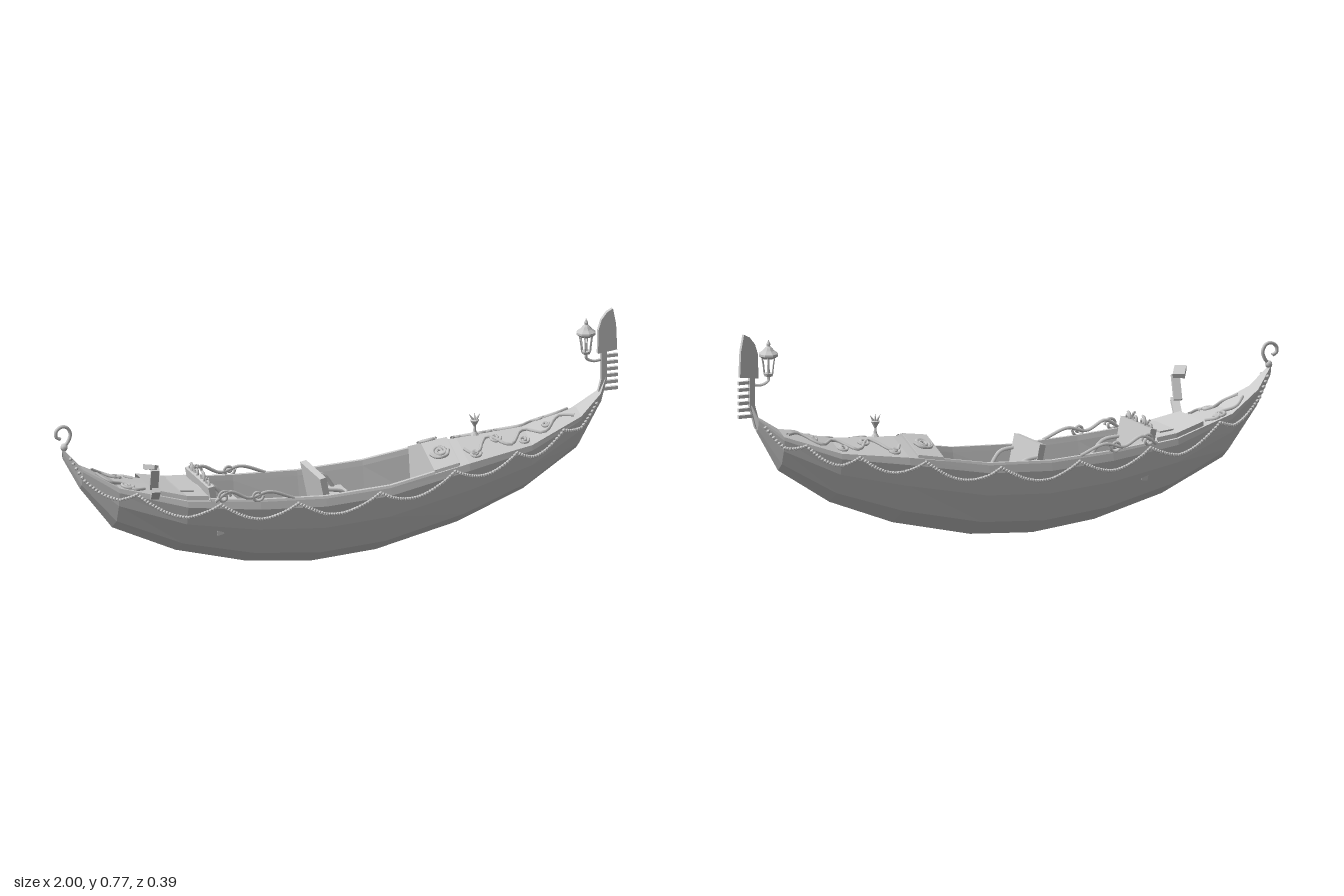
import * as THREE from 'three';
import { mergeGeometries } from 'three/addons/utils/BufferGeometryUtils.js';

const flat = new THREE.MeshStandardMaterial({ color: 0xcccccc, flatShading: true, side: THREE.DoubleSide });
const smooth = new THREE.MeshStandardMaterial({ color: 0xcccccc, side: THREE.DoubleSide });

// Hull stations: x, keel height, rim height, half width
const STATIONS = [
  [-0.97, 0.46, 0.495, 0.008], [-0.91, 0.35, 0.425, 0.036], [-0.795, 0.2, 0.36, 0.078],
  [-0.57, 0.096, 0.305, 0.13], [-0.32, 0.03, 0.282, 0.153], [-0.09, 0.005, 0.271, 0.16],
  [0.14, 0.02, 0.282, 0.157], [0.425, 0.085, 0.33, 0.137], [0.66, 0.176, 0.358, 0.1],
  [0.85, 0.3, 0.423, 0.052], [0.93, 0.44, 0.485, 0.02], [0.952, 0.52, 0.535, 0.008],
];
// Half cross-section as fractions of width and height
const SECTION = [[0, 0], [0.6, 0.22], [0.9, 0.6], [1, 0.9], [0.97, 1]];
const STERN = -0.49, BOW = 0.3, FLOOR = 0.17;

function at(x) {
  let i = 0;
  while (i < STATIONS.length - 2 && x > STATIONS[i + 1][0]) i++;
  const a = STATIONS[i], b = STATIONS[i + 1];
  const t = THREE.MathUtils.clamp((x - a[0]) / (b[0] - a[0]), 0, 1);
  const [keel, rim, w] = [1, 2, 3].map((k) => a[k] + (b[k] - a[k]) * t);
  return { keel, rim, w };
}

// Half width of the hull at a given height
function sideZ(x, y) {
  const { keel, rim, w } = at(x);
  const f = THREE.MathUtils.clamp((y - keel) / (rim - keel), 0, 1);
  const i = Math.max(1, SECTION.findIndex((s) => s[1] >= f));
  const [a, b] = [SECTION[i - 1], SECTION[i]];
  return w * (a[0] + (b[0] - a[0]) * (f - a[1]) / (b[1] - a[1]));
}

// Gabled deck surface
function deckY(x, z) {
  const { rim, w } = at(x);
  return rim + (x > 0 ? 0.36 : 0.1) * w * Math.max(0, 1 - Math.abs(z) / (0.97 * w));
}

// Skin over open cross-sections given as [y, z] lists
function loft(xs, profile) {
  const pos = [], index = [], n = profile(xs[0]).length;
  xs.forEach((x, i) => profile(x).forEach(([y, z], j) => {
    pos.push(x, y, z);
    if (i && j) {
      const a = (i - 1) * n + j - 1, b = a + n;
      index.push(a, a + 1, b, b, a + 1, b + 1);
    }
  }));
  const g = new THREE.BufferGeometry();
  g.setAttribute('position', new THREE.Float32BufferAttribute(pos, 3));
  g.setIndex(index);
  g.computeVertexNormals();
  return g;
}

const span = (a, b) => [a, ...STATIONS.map((s) => s[0]).filter((x) => x > a && x < b), b];
const V = (p) => new THREE.Vector3(...p);
const tube = (pts, r, seg = 24, sides = 5) =>
  new THREE.TubeGeometry(new THREE.CatmullRomCurve3(pts.map(V)), seg, r, sides);
const spiral = (cx, cy, r, turns, dir = 1, start = 0) => Array.from({ length: 15 }, (_, i) => {
  const a = start + dir * turns * Math.PI * 2 * i / 14, q = r * (1 - 0.75 * i / 14);
  return [cx + Math.cos(a) * q, cy + Math.sin(a) * q];
});

export function createModel() {
  const model = new THREE.Group();
  model.name = 'gondola';
  model.position.z = -0.013;
  const add = (name, geo, mat = flat, p = [0, 0, 0], rz = 0) => {
    const m = new THREE.Mesh(geo, mat);
    m.name = name;
    m.position.set(...p);
    m.rotation.z = rz;
    model.add(m);
    return m;
  };
  const box = (name, size, p, rz) => add(name, new THREE.BoxGeometry(...size), flat, p, rz);

  // Hull shell
  const xsHull = STATIONS.map((s) => s[0]);
  add('hull', loft(xsHull, (x) => {
    const { keel, rim, w } = at(x);
    const half = SECTION.map(([a, b]) => [keel + (rim - keel) * b, a * w]);
    return [...half.slice(1).reverse().map(([y, z]) => [y, -z]), ...half];
  }));

  // Decks, gunwales, cockpit walls and floor
  const deck = (x) => [1, 0.5, 0, -0.5, -1].map((s) => {
    const z = s * 0.97 * at(x).w;
    return [deckY(x, z), z];
  });
  add('sternDeck', loft(span(-0.97, STERN), deck));
  add('bowDeck', loft(span(BOW, 0.952), deck));
  add('cockpit', loft(span(STERN, BOW), (x) => {
    const { rim, w } = at(x);
    const half = [[rim, 0.97 * w], [rim + 0.008, 0.95 * w], [rim + 0.008, 0.87 * w], [rim - 0.01, 0.84 * w], [FLOOR, 0.7 * w]];
    return [...half, ...half.map(([y, z]) => [y, -z]).reverse()];
  }));
  const bulkhead = (name, x, lift) => {
    const { rim, w } = at(x);
    const s = new THREE.Shape([[-0.7 * w, FLOOR], [0.7 * w, FLOOR], [0.93 * w, rim + lift], [0, deckY(x, 0) + lift],
      [-0.93 * w, rim + lift]].map((p) => new THREE.Vector2(...p)));
    add(name, new THREE.ExtrudeGeometry(s, { depth: 0.008, bevelEnabled: false }).rotateY(Math.PI / 2), flat, [x, 0, 0]);
  };
  bulkhead('sternBulkhead', STERN - 0.006, 0.002);
  bulkhead('bowBulkhead', BOW, 0.012);
  bulkhead('panelEnd', 0.384, 0.012);
  add('deckPanel', loft([BOW, 0.39], (x) => {
    const { rim, w } = at(x);
    return [[rim, 0.95 * w], [rim + 0.012, 0.93 * w], [deckY(x, 0) + 0.012, 0], [rim + 0.012, -0.93 * w], [rim, -0.95 * w]];
  }));

  // Stern platform and hatch
  add('sternPlatform', loft([-0.68, -0.57, -0.495], (x) => {
    const { rim, w } = at(x);
    return [[rim, 0.9 * w], [rim + 0.016, 0.88 * w], [rim + 0.016, -0.88 * w], [rim, -0.9 * w]];
  }));
  box('hatch', [0.05, 0.014, 0.14], [-0.555, 0.318, 0], -0.1);

  // Benches with leaning backrests
  for (const [x, depth, h, halfW] of [[-0.465, 0.125, 0.345, 0.118], [-0.065, 0.1, 0.325, 0.1]]) {
    box('bench', [depth, 0.045, halfW * 1.9], [x + depth / 2 + 0.01, FLOOR + 0.022, 0]);
    box('benchCushion', [depth + 0.008, 0.012, halfW * 1.95], [x + depth / 2 + 0.01, FLOOR + 0.051, 0]);
    box('backrest', [0.022, h - FLOOR, halfW * 2], [x - 0.002, (h + FLOOR) / 2, 0], 0.2);
    add('benchKnob', new THREE.SphereGeometry(0.008, 8, 6), smooth, [x + depth, FLOOR + 0.063, 0]);
    for (const s of [-1, 1])
      add('armrest', tube([[x, 0.28, s * halfW * 0.9], [x + depth * 0.5, 0.27, s * halfW * 0.92],
        [x + depth * 0.85, 0.225, s * halfW * 0.9]], 0.007, 10), smooth);
  }

  // Carved crest above the rear seat and scrolls along the rims
  const crest = [];
  for (const s of [-1, 1]) {
    crest.push(tube(spiral(s * 0.085, 0.345, 0.02, 1.4, s, Math.PI / 2).map(([z, y]) => [-0.485, y, z]), 0.005));
    crest.push(tube(spiral(s * 0.03, 0.35, 0.022, 1.3, -s, Math.PI / 2).map(([z, y]) => [-0.485, y, z]), 0.005));
    const z = s * 0.145;
    crest.push(tube([[-0.48, 0.3, z], [-0.43, 0.33, z], [-0.36, 0.3, z], [-0.29, 0.315, z], [-0.2, 0.283, z]], 0.006));
    crest.push(tube(spiral(-0.45, 0.313, 0.024, 1.3, 1).map(([x, y]) => [x, y, z]), 0.005));
    crest.push(tube(spiral(-0.33, 0.305, 0.022, 1.3, -1).map(([x, y]) => [x, y, z]), 0.005));
  }
  add('seatCarving', mergeGeometries(crest), smooth);

  // Scrolls and rosettes laid on the decks
  const carving = [];
  const onDeck = (pts, r, lift = 0.003) => carving.push(tube(pts.map(([x, z]) => [x, deckY(x, z) + lift, z]), r, 32));
  for (const s of [-1, 1]) {
    onDeck(Array.from({ length: 18 }, (_, i) => {
      const x = 0.43 + 0.4 * i / 17;
      return [x, s * at(x).w * (0.45 + 0.27 * Math.sin(i * 1.15))];
    }), 0.006);
    for (const [x, q, r] of [[0.46, 0.7, 0.02], [0.55, 0.3, 0.02], [0.64, 0.65, 0.018], [0.73, 0.35, 0.013]])
      onDeck(spiral(x, s * at(x).w * q, r, 1.3, s), 0.005);
    onDeck(spiral(0.345, s * 0.062, 0.03, 2, s), 0.006, 0.015);
    onDeck(spiral(0.345, s * 0.062, 0.034, 1, s).map(([x, z]) => [0.69 - x, z]), 0.005, 0.015);
    onDeck([[-0.7, s * 0.06], [-0.74, s * 0.075], [-0.77, s * 0.035], [-0.82, s * 0.05], [-0.86, s * 0.02]], 0.006);
    onDeck(spiral(-0.76, s * 0.05, 0.023, 1.3, s), 0.006);
  }
  add('deckCarving', mergeGeometries(carving), smooth);

  // Beaded garlands hung in swags on both sides
  const pegs = [-0.95, -0.74, -0.46, -0.19, 0.1, 0.37, 0.6, 0.78, 0.92], beads = [];
  for (const s of [-1, 1]) for (let i = 0; i < pegs.length - 1; i++) {
    const len = pegs[i + 1] - pegs[i], n = Math.round(len / 0.009);
    for (let j = 0; j < n; j++) {
      const x = pegs[i] + len * j / n;
      const y = at(x).rim - 0.008 - Math.min(0.05, len * 0.2) * Math.sin(Math.PI * j / n);
      beads.push(new THREE.IcosahedronGeometry(0.0068, 0).translate(x, y, s * (sideZ(x, y) + 0.007)));
    }
  }
  add('garlands', mergeGeometries(beads));

  // Bow iron: post, blade and teeth
  const plate = (name, pts, t) => add(name, new THREE.ExtrudeGeometry(
    new THREE.Shape(pts.map((p) => new THREE.Vector2(...p))), { depth: t, bevelEnabled: false }), flat, [0, 0, -t / 2]);
  plate('bowPost', [[0.915, 0.45], [0.935, 0.45], [0.957, 0.53], [0.957, 0.63], [0.937, 0.63], [0.937, 0.53]], 0.013);
  plate('bowBlade', [[0.925, 0.622], [0.993, 0.63], [0.989, 0.72], [0.978, 0.775], [0.958, 0.765], [0.938, 0.74], [0.927, 0.705]], 0.014);
  for (let i = 0; i < 6; i++) box('bowTooth', [0.054, 0.011, 0.011], [0.97, 0.495 + i * 0.023, 0]);

  // Lantern on its bracket
  const lx = 0.885;
  add('lanternBracket', tube([[0.945, 0.6, 0], [0.91, 0.597, 0], [lx, 0.61, 0], [lx, 0.625, 0]], 0.005), smooth);
  add('lanternRoof', new THREE.LatheGeometry([[0.02, 0.685], [0.034, 0.695], [0.034, 0.702], [0.02, 0.712], [0.012, 0.722],
    [0.006, 0.727], [0.007, 0.735], [0, 0.75]].map((p) => new THREE.Vector2(...p)), 8), flat, [lx, 0, 0]);
  add('lanternBase', new THREE.CylinderGeometry(0.018, 0.014, 0.01, 8), flat, [lx, 0.63, 0]);
  add('lanternCandle', new THREE.CylinderGeometry(0.004, 0.005, 0.03, 6), flat, [lx, 0.648, 0]);
  for (let i = 0; i < 6; i++) {
    const c = Math.cos(i * Math.PI / 3), d = Math.sin(i * Math.PI / 3);
    add('lanternBar', tube([[lx + c * 0.016, 0.632, d * 0.016], [lx + c * 0.019, 0.66, d * 0.019],
      [lx + c * 0.024, 0.69, d * 0.024]], 0.0022, 4, 4), smooth);
  }

  // Stern curl
  add('sternCurl', tube([[-0.955, 0.46, 0], [-0.967, 0.495, 0], [-0.95, 0.52, 0], [-0.943, 0.545, 0], [-0.955, 0.568, 0],
    [-0.975, 0.572, 0], [-0.993, 0.558, 0], [-0.993, 0.538, 0], [-0.978, 0.53, 0]], 0.006, 40, 6), smooth);
  add('sternKnob', new THREE.SphereGeometry(0.013, 8, 6), smooth, [-0.965, 0.5, 0]);

  // Crooked oar rest on the left rim
  const rest = [[-0.675, 0.315, 0.1], [-0.7, 0.375, 0.163], [-0.708, 0.45, 0.173], [-0.74, 0.472, 0.198]].map(V);
  for (let i = 0; i < 3; i++) {
    const m = box('oarRest', [i < 2 ? 0.028 : 0.04, 0.016, rest[i].distanceTo(rest[i + 1]) + 0.012], [0, 0, 0]);
    m.position.lerpVectors(rest[i], rest[i + 1], 0.5);
    m.lookAt(rest[i + 1]);
  }

  // Small flared ornament on the bow deck
  const oy = deckY(0.49, 0);
  add('ornamentStem', new THREE.LatheGeometry([[0.014, 0], [0.006, 0.012], [0.004, 0.03], [0.009, 0.04], [0.016, 0.052],
    [0.012, 0.055], [0, 0.05]].map((p) => new THREE.Vector2(...p)), 8), flat, [0.49, oy, 0]);
  for (const s of [-1, 0, 1])
    add('ornamentLeaf', new THREE.ConeGeometry(0.006, 0.03, 5), flat, [0.49 + s * 0.012, oy + 0.063, 0], -s * 0.6);

  return model;
}
